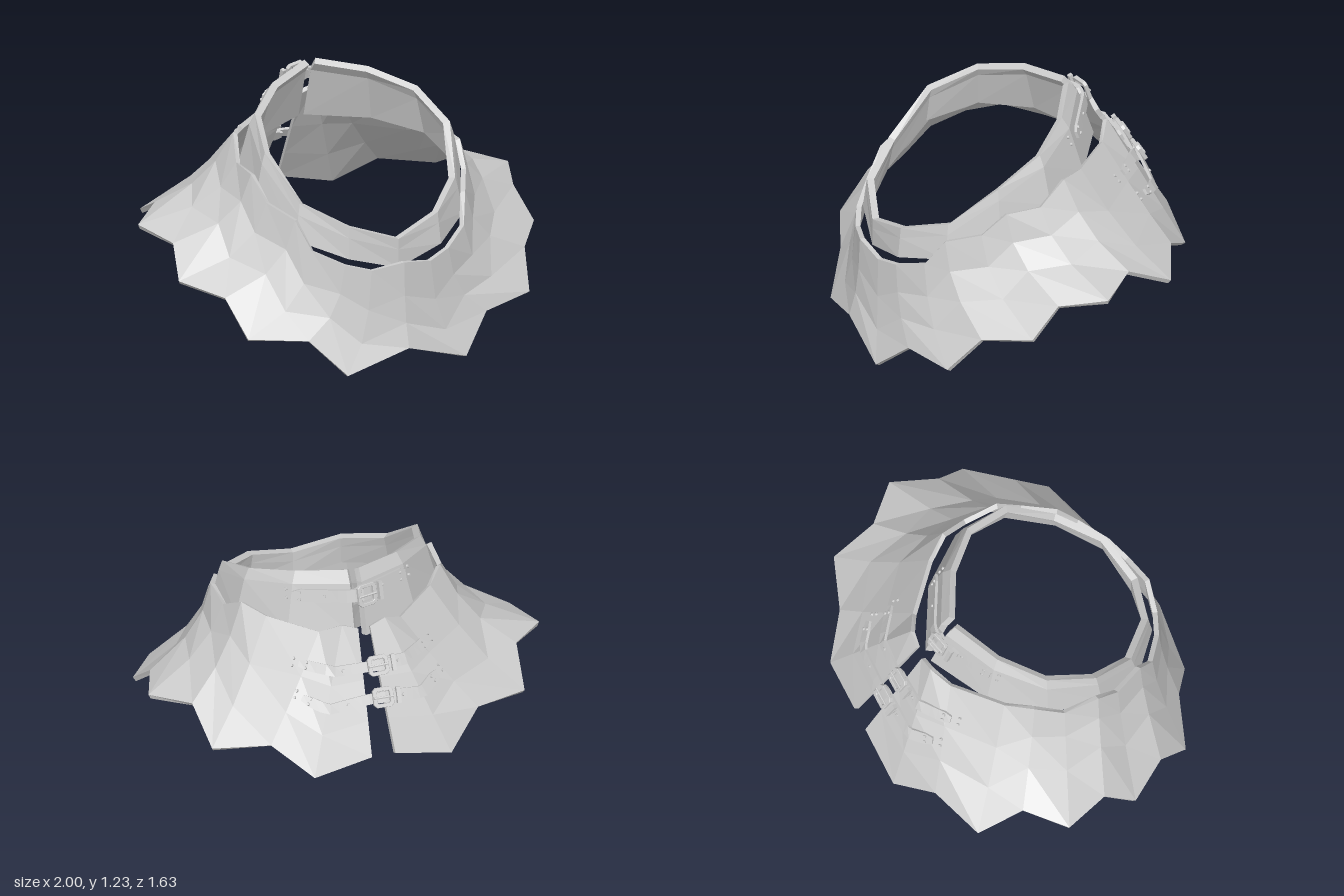
import * as THREE from 'three';

const V = (x, y, z) => new THREE.Vector3(x, y, z);
const mat = new THREE.MeshStandardMaterial({ color: 0xcccccc, flatShading: true });

// Solid sheet from a grid of outer points: grid[column][row], thickened inwards
function shell(name, grid, t) {
  const N = grid.length - 1, M = grid[0].length - 1;
  const inner = grid.map((col, i) => col.map((p, j) => {
    const di = grid[Math.min(i + 1, N)][j].clone().sub(grid[Math.max(i - 1, 0)][j]);
    const dj = col[Math.min(j + 1, M)].clone().sub(col[Math.max(j - 1, 0)]);
    return p.clone().addScaledVector(dj.cross(di).normalize(), -t);
  }));
  const pos = [];
  const quad = (a, b, c, d) => [a, b, c, a, c, d].forEach(p => pos.push(p.x, p.y, p.z));
  for (let i = 0; i < N; i++) {
    const a = grid[i], b = grid[i + 1], c = inner[i], d = inner[i + 1];
    for (let j = 0; j < M; j++) {
      quad(a[j], a[j + 1], b[j + 1], b[j]);
      quad(c[j], d[j], d[j + 1], c[j + 1]);
    }
    quad(a[0], b[0], d[0], c[0]);
    quad(a[M], c[M], d[M], b[M]);
  }
  for (let j = 0; j < M; j++) {
    quad(grid[0][j], inner[0][j], inner[0][j + 1], grid[0][j + 1]);
    quad(grid[N][j], grid[N][j + 1], inner[N][j + 1], inner[N][j]);
  }
  const g = new THREE.BufferGeometry();
  g.setAttribute('position', new THREE.Float32BufferAttribute(pos, 3));
  g.computeVertexNormals();
  const mesh = new THREE.Mesh(g, mat);
  mesh.name = name;
  return mesh;
}

// Half columns run from the front centre to the back gap; mirror the rest
const mirror = half => [
  ...half.slice(1).reverse().map(col => col.map(p => V(-p.x, p.y, p.z))), ...half];

// Mantle: upper and lower zigzag edges
const mantleTop = [[0, .54, .755], [.16, .51, .72], [.28, .54, .67], [.41, .6, .57], [.46, .74, .48],
  [.54, .79, .32], [.565, .9, .2], [.56, .9, .02], [.51, 1, -.12], [.42, .98, -.24],
  [.21, .97, -.43], [.11, 1.03, -.49], [.03, 1, -.5]];
const mantleHem = [[0, .11, .81], [.32, .01, .79], [.48, .18, .68], [.76, .2, .58], [.81, .37, .42],
  [.96, .41, .21], [.92, .55, .06], [1, .58, -.17], [.83, .61, -.34], [.8, .49, -.57],
  [.53, .52, -.67], [.35, .38, -.81], [.06, .45, -.82]];
const drop = [0, .4, .72, 1], flare = [0, .13, .42, 1];
const mantleHalf = mantleTop.map((a, i) => drop.map((v, j) => {
  const b = mantleHem[i];
  const h = THREE.MathUtils.lerp(flare[j], v, THREE.MathUtils.smoothstep(i, 6, 11));
  return V(a[0] + (b[0] - a[0]) * h, a[1] + (b[1] - a[1]) * v, a[2] + (b[2] - a[2]) * h);
}));

// Collar: rim point, height and outward lean of the band
const collarRim = [[0, .64, .69, .15, 0], [.24, .72, .63, .16, .02], [.42, .81, .45, .18, .04],
  [.5, 1.01, .22, .21, .05], [.44, 1.12, -.02, .25, .08], [.26, 1.19, -.2, .29, .11],
  [.03, 1.23, -.32, .32, .13]];
const collarHalf = collarRim.map(([x, y, z, h, lean]) => {
  const out = V(x, 0, z - .15).normalize();
  if (x < .05) out.x = 0;
  return [[0, 0], [.055, .35], [h, 1]].map(([d, k]) =>
    V(x, y - d, z).addScaledVector(out, lean * k));
});

// Point on the back of a half grid at row coordinate r and sideways position x
function onSurface(half, r, x) {
  const j = Math.min(Math.floor(r), half[0].length - 2);
  const line = half.map(c => c[j].clone().lerp(c[j + 1], r - j));
  let i = line.length - 1;
  const ax = Math.abs(x);
  while (i > 1 && line[i - 1].x < ax) i--;
  const a = line[i], b = line[i - 1];
  const p = a.clone().lerp(b, THREE.MathUtils.clamp((ax - a.x) / (b.x - a.x), 0, 1));
  p.x = x;
  return p;
}

// Local axes on the surface: along (towards -x), up, outward
function frameAt(half, r, x) {
  const e = .05;
  const along = onSurface(half, r, x - e).sub(onSurface(half, r, x + e)).normalize();
  const up = onSurface(half, r - e, x).sub(onSurface(half, r + e, x));
  up.addScaledVector(along, -up.dot(along)).normalize();
  return { p: onSurface(half, r, x), along, up, out: along.clone().cross(up) };
}

function place(obj, f, lift) {
  obj.quaternion.setFromRotationMatrix(new THREE.Matrix4().makeBasis(f.along, f.up, f.out));
  obj.position.copy(f.p).addScaledVector(f.out, lift);
  return obj;
}

function strapPiece(name, half, r, x0, x1, width, lift) {
  const n = 12, cols = [];
  for (let i = 0; i <= n; i++) {
    const f = frameAt(half, r, x0 + (x1 - x0) * i / n);
    const w = width / 2 * (i === 0 || i === n ? .6 : 1);
    cols.push([w, -w].map(s =>
      f.p.clone().addScaledVector(f.up, s).addScaledVector(f.out, lift)));
  }
  return shell(name, cols, .014);
}

const rivetGeo = new THREE.CylinderGeometry(.007, .009, .012, 8).rotateX(Math.PI / 2);

function makeBuckle(w, h) {
  const g = new THREE.Group();
  g.name = 'buckle';
  const rect = (Type, a, b, c) => new Type([[-a + c, -b], [a - c, -b], [a, -b + c], [a, b - c],
    [a - c, b], [-a + c, b], [-a, b - c], [-a, -b + c]].map(q => new THREE.Vector2(...q)));
  const s = rect(THREE.Shape, w / 2, h / 2, .014);
  s.holes.push(rect(THREE.Path, w / 2 - .014, h / 2 - .014, .008));
  const frame = new THREE.Mesh(new THREE.ExtrudeGeometry(s,
    { depth: .016, bevelEnabled: true, bevelSize: .002, bevelThickness: .002, bevelSegments: 1 }), mat);
  frame.name = 'buckleFrame';
  const prong = new THREE.Mesh(new THREE.CylinderGeometry(.006, .006, w, 6).rotateZ(Math.PI / 2), mat);
  prong.name = 'bucklePin';
  prong.position.z = .02;
  const loop = new THREE.Mesh(new THREE.BoxGeometry(.02, h * .85, .022), mat);
  loop.name = 'strapKeeper';
  loop.position.set(w / 2 + .03, 0, .004);
  g.add(frame, prong, loop);
  return g;
}

// Strap with buckle, overlapping tongue and rivets
function makeStrap(name, half, r, reach, width) {
  const g = new THREE.Group();
  g.name = name;
  g.add(strapPiece('strapBase', half, r, .02, -reach, width, .016));
  g.add(strapPiece('strapTongue', half, r, reach, -.12, width * .85, .03));
  g.add(place(makeBuckle(.1, width + .035), frameAt(half, r, -.03), .03));
  for (const side of [-1, 1]) {
    const spots = [[reach - .03, .25], [reach - .03, -.25], [reach + .03, .3],
      [reach + .03, -.3], [.14, 0]];
    for (const [x, v] of spots) {
      const f = frameAt(half, r, side * x);
      f.p.addScaledVector(f.up, v * width);
      const rivet = place(new THREE.Mesh(rivetGeo, mat), f, x > reach ? .004 : side > 0 ? .032 : .018);
      rivet.name = 'rivet';
      g.add(rivet);
    }
  }
  return g;
}

export function createModel() {
  const model = new THREE.Group();
  model.name = 'shoulderMantle';
  model.add(shell('mantle', mirror(mantleHalf), .025));
  model.add(shell('collar', mirror(collarHalf), .035));
  model.add(makeStrap('collarStrap', collarHalf, 1.2, .28, .075));
  model.add(makeStrap('upperBackStrap', mantleHalf, .75, .32, .06));
  model.add(makeStrap('lowerBackStrap', mantleHalf, 1.47, .34, .06));
  return model;
}
